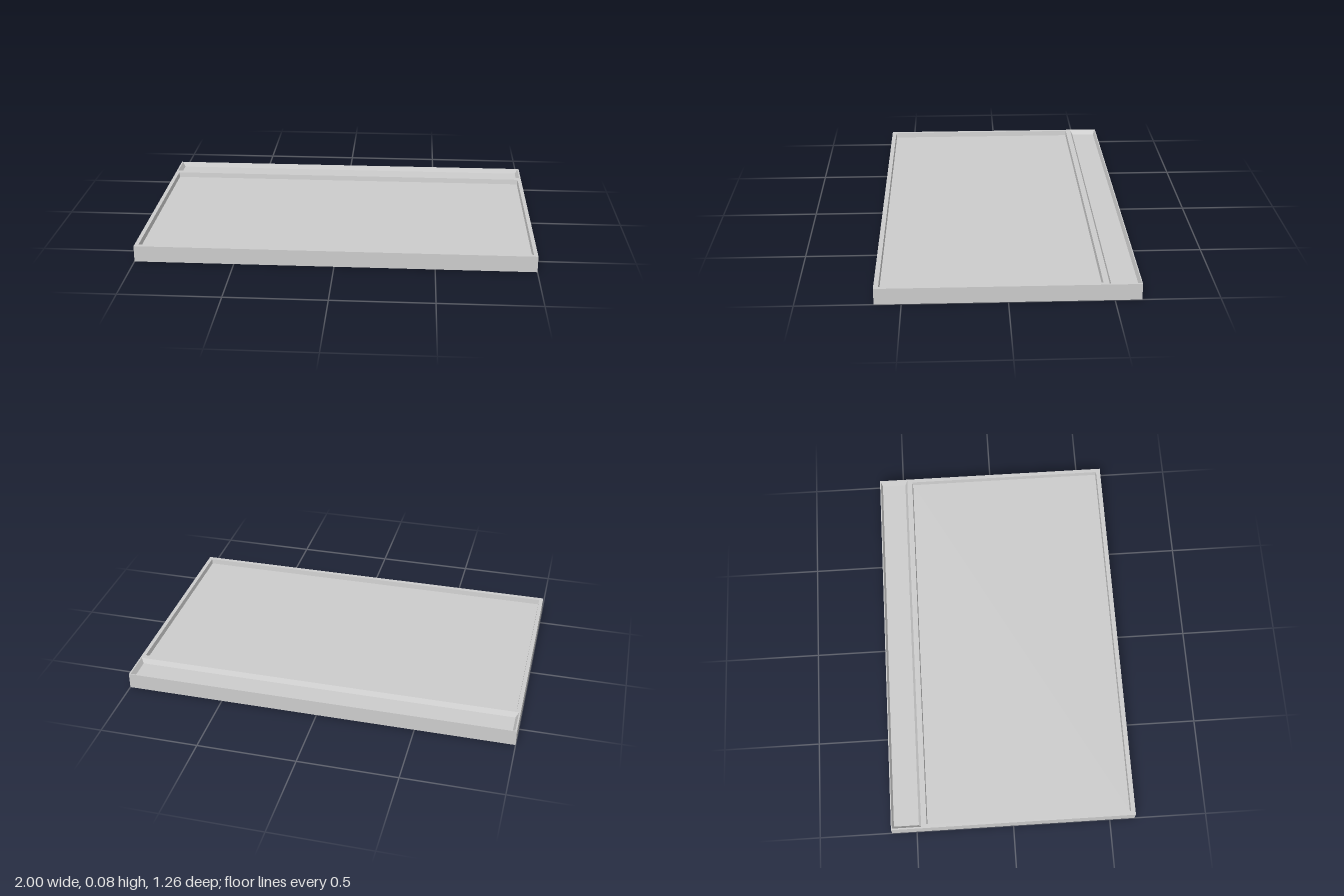
import * as THREE from 'three';

const H = 0.083;
const material = new THREE.MeshStandardMaterial({ color: 0xcccccc, flatShading: true });

// Four corners of a level rectangle, counter-clockwise seen from above
const ring = (hx, back, front, y) => [[-hx, y, front], [hx, y, front], [hx, y, back], [-hx, y, back]];

// Mesh from flat four-cornered faces
function quadMesh(name, quads) {
  const points = quads.flatMap(([a, b, c, d]) => [a, b, c, a, c, d]).flat();
  const geometry = new THREE.BufferGeometry();
  geometry.setAttribute('position', new THREE.Float32BufferAttribute(points, 3));
  geometry.computeVertexNormals();
  const mesh = new THREE.Mesh(geometry, material);
  mesh.name = name;
  return mesh;
}

// Walls joining one ring to the next
const walls = (from, to) => from.map((p, i) => {
  const j = (i + 1) % 4;
  return [p, from[j], to[j], to[i]];
});

// Recess with walls running from the rim opening down to its floor
const recess = (name, opening, floor) => quadMesh(name, [...walls(floor, opening).map((q) => q.reverse()), floor]);

export function createModel() {
  const group = new THREE.Group();
  group.name = 'tray';

  // Outer sides and underside
  const bottom = ring(1, -0.628, 0.628, 0);
  const top = ring(1, -0.628, 0.628, H);
  group.add(quadMesh('trayBody', [...walls(bottom, top), [...bottom].reverse()]));

  // Openings in the top
  const mainOpening = ring(0.98, -0.445, 0.605, H);
  const rearOpening = ring(0.992, -0.623, -0.473, H);

  // Flat rim and dividing ridge
  const toShape = (corners, Type) => new Type(corners.map(([x, , z]) => new THREE.Vector2(x, -z)));
  const rimShape = toShape(top, THREE.Shape);
  rimShape.holes.push(toShape(mainOpening, THREE.Path), toShape(rearOpening, THREE.Path));
  const rim = new THREE.Mesh(new THREE.ShapeGeometry(rimShape).rotateX(-Math.PI / 2), material);
  rim.position.y = H;
  rim.name = 'rim';
  group.add(rim);

  // Large recess with near-upright walls, narrow rear recess with sloping walls
  group.add(recess('mainRecess', mainOpening, ring(0.977, -0.442, 0.602, H - 0.027)));
  group.add(recess('rearRecess', rearOpening, ring(0.978, -0.614, -0.486, H - 0.025)));

  return group;
}
